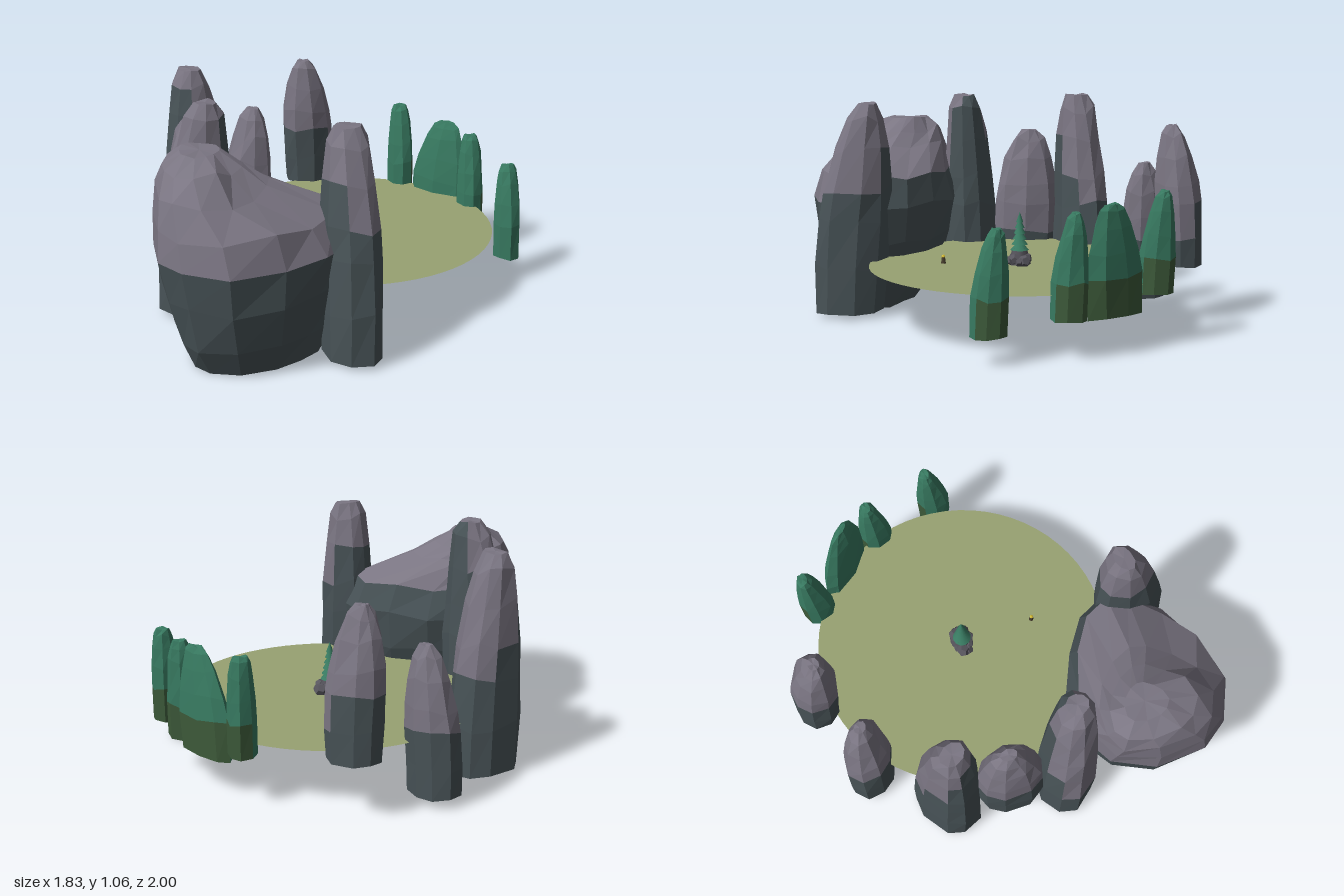
import * as THREE from 'three';

const mat = (name, color, side = THREE.FrontSide) => {
  const m = new THREE.MeshStandardMaterial({ color, side });
  m.name = name;
  return m;
};

function seeded(seed) {
  let s = seed;
  return () => (s = (s * 16807) % 2147483647) / 2147483647;
}

// Faceted hollow lump, open below, from elliptical rings [y, cx, cz, rx, rz].
// Faces lower than base + lean * (facing along dir) take the second material.
// taper narrows the +x end of every ring.
function lump(name, rings, mats, { sides = 9, rot = 0, base = 0.5, lean = 0, dir = [1, 0], seed = 7, rough = 0.07, taper = 0 }) {
  const rnd = seeded(seed * 7919 + 13);
  for (let i = 0; i < 5; i++) rnd();
  const last = rings.length - 1;
  const y0 = rings[0][0], y1 = rings[last][0];
  const wobble = Array.from({ length: sides }, () => (rnd() - 0.5) * 0.3);
  const c = Math.cos(rot), s = Math.sin(rot);
  const pts = rings.map(([y, cx, cz, rx, rz], k) => wobble.map((w, i) => {
    const a = ((i + w) / sides) * Math.PI * 2;
    const r = 1.03 - rough * rnd();
    const u = Math.cos(a) * rx * r, v = Math.sin(a) * rz * r * (1 - taper * Math.cos(a));
    const shift = rnd();
    const dy = k === 0 ? shift * 0.012 : k === last ? -shift * 0.012 : (shift - 0.5) * 0.05 * (y1 - y0);
    return new THREE.Vector3(cx + u * c - v * s, y + dy, cz + u * s + v * c);
  }));
  const parts = [[], []];
  const tri = (m, ...v) => v.forEach((p) => parts[m].push(p.x, p.y, p.z));
  const dl = Math.hypot(...dir);
  for (let k = 0; k < last; k++) {
    for (let i = 0; i < sides; i++) {
      const j = (i + 1) % sides;
      const a = ((i + 0.5) / sides) * Math.PI * 2 + rot;
      const facing = (Math.cos(a) * dir[0] + Math.sin(a) * dir[1]) / dl;
      const h = ((rings[k][0] + rings[k + 1][0]) / 2 - y0) / (y1 - y0);
      const m = h < base + lean * facing ? 1 : 0;
      tri(m, pts[k][j], pts[k][i], pts[k + 1][i]);
      tri(m, pts[k][j], pts[k + 1][i], pts[k + 1][j]);
    }
  }
  // top cap
  const top = pts[last];
  const mid = top.reduce((a, p) => a.add(p), new THREE.Vector3()).divideScalar(sides);
  top.forEach((p, i) => tri(0, mid, top[(i + 1) % sides], p));
  const geo = new THREE.BufferGeometry();
  geo.setAttribute('position', new THREE.Float32BufferAttribute(parts[0].concat(parts[1]), 3));
  geo.addGroup(0, parts[0].length / 3, 0);
  geo.addGroup(parts[0].length / 3, parts[1].length / 3, 1);
  geo.computeVertexNormals();
  const mesh = new THREE.Mesh(geo, mats);
  mesh.name = name;
  return mesh;
}

// Column leaning towards a peak; ex and ez below 1 keep it broad in that axis.
function column(name, profile, { x, z, rx, rz, y0, y1, px = x, pz = z, ex = 1, ez = 1 }, mats, opt) {
  const rings = profile.map(([t, w]) => {
    const k = t ** 1.6;
    return [y0 + (y1 - y0) * t, x + (px - x) * k, z + (pz - z) * k, rx * w ** ex, rz * w ** ez];
  });
  return lump(name, rings, mats, opt);
}

export function createModel() {
  const group = new THREE.Group();
  const stone = mat('light stone', 0x7a7582, THREE.DoubleSide);
  const slate = mat('dark slate', 0x485357, THREE.DoubleSide);
  const leaf = mat('leaf green', 0x387a61, THREE.DoubleSide);
  const moss = mat('moss green', 0x3d5a3a, THREE.DoubleSide);
  const grass = mat('grass', 0x98a272, THREE.DoubleSide);
  const pebble = mat('pebble grey', 0x57555d);
  const wood = mat('wood', 0x4a4030);
  const yellow = mat('yellow', 0xd4bc38);

  // meadow disc
  const meadow = new THREE.Mesh(new THREE.CircleGeometry(0.725, 64), grass);
  meadow.name = 'meadow';
  meadow.rotation.x = -Math.PI / 2;
  meadow.position.set(0.052, 0.285, -0.107);
  group.add(meadow);

  // standing stones around the edge
  const rockMats = [stone, slate];
  const pillar = [[0, 0.93], [0.22, 0.99], [0.45, 1], [0.6, 0.93], [0.78, 0.74], [0.92, 0.5], [1, 0.24]];
  const wedge = [[0, 1], [0.22, 0.99], [0.45, 0.92], [0.6, 0.83], [0.78, 0.68], [0.92, 0.5], [1, 0.27]];
  const stones = [
    [pillar, { x: -0.03, z: -0.887, rx: 0.135, rz: 0.115, y0: 0.27, y1: 0.96, px: -0.06, pz: -0.84 }, { base: 0.42, lean: 0.1, dir: [-1, 0] }],
    [pillar, { x: -0.395, z: -0.735, rx: 0.14, rz: 0.11, y0: 0.04, y1: 0.74, px: -0.345, pz: -0.73 }, { rot: 0.75, base: 0.42, lean: 0.08, dir: [-1, 0] }],
    [wedge, { x: -0.65, z: -0.425, rx: 0.185, rz: 0.14, y0: 0.02, y1: 1.06, px: -0.685, pz: -0.39, ez: 0.6 }, { rot: -0.5, base: 0.66, lean: 0.24, dir: [-0.8, 1] }],
    [pillar, { x: -0.72, z: -0.12, rx: 0.12, rz: 0.17, y0: 0.17, y1: 0.87, pz: -0.14 }, { base: 0.35, lean: 0.1, dir: [-1, 0] }],
    [wedge, { x: -0.715, z: 0.165, rx: 0.185, rz: 0.145, y0: 0.02, y1: 1.06, px: -0.65, pz: 0.2, ez: 0.75 }, { rot: 0.15, base: 0.62, lean: 0.42, dir: [1, -0.5] }],
    [pillar, { x: -0.062, z: 0.735, rx: 0.135, rz: 0.185, y0: 0.015, y1: 1.06, px: -0.07, pz: 0.64, ex: 0.5 }, { rot: -0.25, base: 0.68, lean: 0.14, dir: [-1, -0.6] }],
  ];
  stones.forEach(([profile, shape, opt], i) =>
    group.add(column('standingStone' + (i + 1), profile, shape, rockMats, { ...opt, seed: i + 3 })));

  // large boulder
  group.add(lump('boulder', [
    [0, -0.48, 0.65, 0.3, 0.2],
    [0.15, -0.48, 0.63, 0.36, 0.28],
    [0.34, -0.485, 0.62, 0.42, 0.345],
    [0.54, -0.48, 0.61, 0.455, 0.37],
    [0.67, -0.51, 0.605, 0.42, 0.33],
    [0.79, -0.65, 0.58, 0.25, 0.265],
    [0.88, -0.69, 0.54, 0.18, 0.2],
    [0.94, -0.7, 0.51, 0.09, 0.1],
  ], rockMats, { sides: 13, rot: -0.08, base: 0.6, lean: 0.1, dir: [1, -0.9], seed: 21, rough: 0.06, taper: 0.3 }));

  // bushes on the opposite edge
  const bush = [[0, 0.97], [0.36, 0.98], [0.58, 0.86], [0.8, 0.64], [0.93, 0.44], [1, 0.24]];
  const bushes = [
    [{ x: 0.455, z: -0.733, rx: 0.068, rz: 0.085, y0: 0.23, y1: 0.71, pz: -0.77, ex: 0.5 }, 0],
    [{ x: 0.625, z: -0.55, rx: 0.175, rz: 0.065, y0: 0.165, y1: 0.68, px: 0.66, pz: -0.525 }, 0.8],
    [{ x: 0.745, z: -0.34, rx: 0.068, rz: 0.085, y0: 0.17, y1: 0.65, pz: -0.37, ex: 0.5 }, 0],
    [{ x: 0.85, z: 0.005, rx: 0.068, rz: 0.085, y0: 0.12, y1: 0.6, pz: -0.033, ex: 0.5 }, 0],
  ];
  bushes.forEach(([shape, rot], i) =>
    group.add(column('bush' + (i + 1), bush, shape, [leaf, moss],
      { sides: 8, rot, base: 0.16, lean: 0.2, dir: [0.8, -0.6], seed: i + 31 })));

  // ring of pebbles with a small tiered tree in the middle
  const centre = new THREE.Group();
  centre.name = 'centrepiece';
  centre.position.set(0.05, 0.285, -0.11);
  for (let i = 0; i < 9; i++) {
    const a = (i / 9) * Math.PI * 2;
    const p = new THREE.Mesh(new THREE.DodecahedronGeometry(0.024 + 0.005 * (i % 3)), pebble);
    p.name = 'pebble';
    p.position.set(Math.cos(a) * 0.057, 0.018 + 0.012 * (i % 2), Math.sin(a) * 0.032);
    p.rotation.set(i, i * 2, 0);
    centre.add(p);
  }
  const mound = new THREE.Mesh(new THREE.CylinderGeometry(0.034, 0.055, 0.085, 8), pebble);
  mound.name = 'mound';
  mound.position.y = 0.04;
  centre.add(mound);
  for (let i = 0; i < 6; i++) {
    const tier = new THREE.Mesh(new THREE.ConeGeometry(0.045 - i * 0.0055, 0.05, 12), leaf);
    tier.name = 'treeTier';
    tier.position.y = 0.095 + i * 0.027;
    centre.add(tier);
  }
  group.add(centre);

  // small marker post
  const post = new THREE.Mesh(new THREE.CylinderGeometry(0.008, 0.012, 0.03, 6), wood);
  post.name = 'post';
  post.position.set(0.052, 0.3, 0.26);
  const knob = new THREE.Mesh(new THREE.IcosahedronGeometry(0.01), yellow);
  knob.name = 'postKnob';
  knob.position.set(0.052, 0.319, 0.26);
  group.add(post, knob);

  return group;
}
